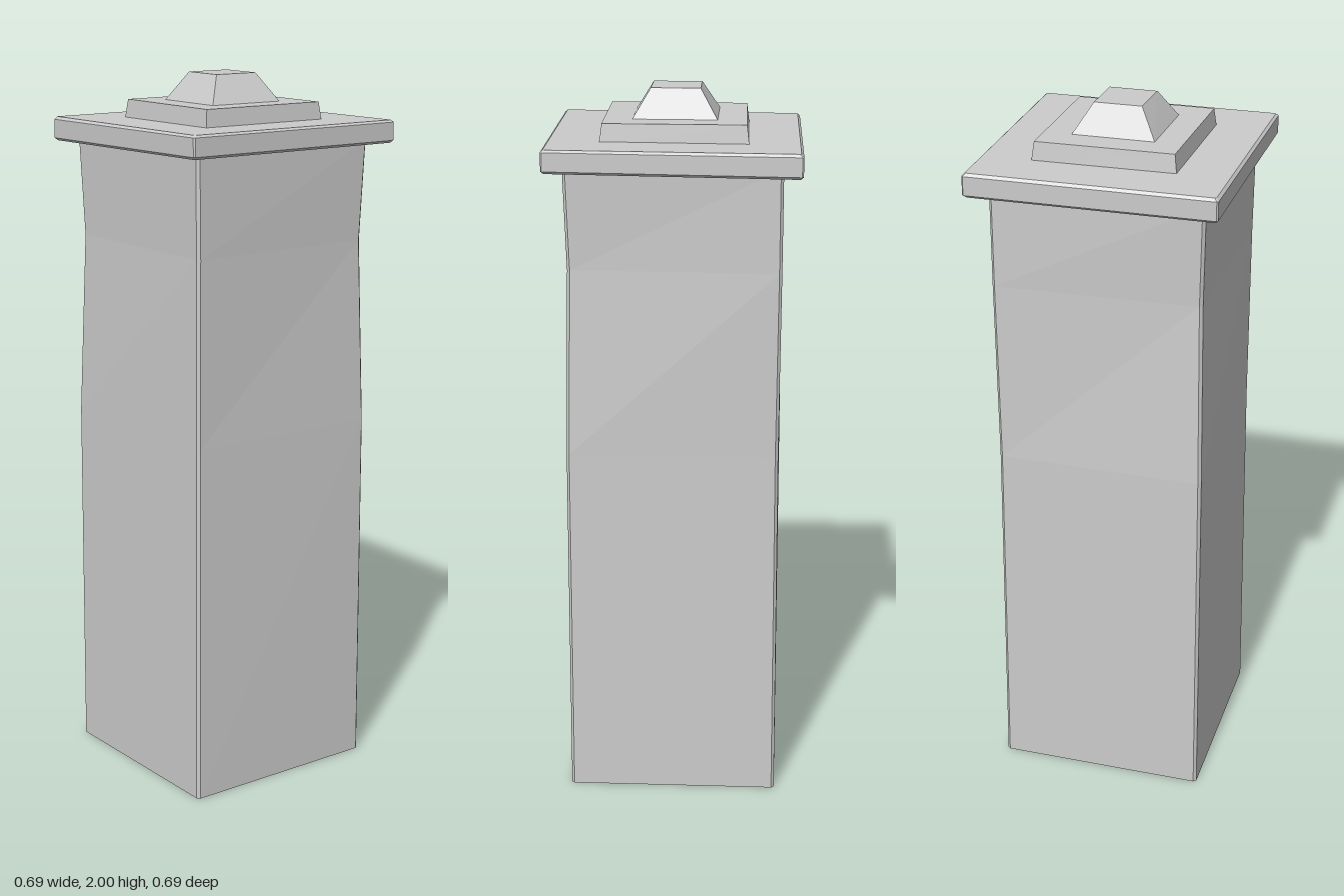
import * as THREE from 'three';

// Lofts flat-sided rings of four corners [x, y, z], with each corner cut by a small chamfer.
// Corner order: front-left of the image, front-right, back-right, back-left.
function loft(name, rings, chamfer) {
  const loops = rings.map((ring) => {
    const corners = ring.map((c) => new THREE.Vector3(...c));
    if (!chamfer) return corners;
    return corners.flatMap((c, i) => [corners[(i + 3) % 4], corners[(i + 1) % 4]].map(
      (n) => c.clone().addScaledVector(n.clone().sub(c).normalize(), chamfer)));
  });
  const n = loops[0].length;
  const pts = [];
  for (let i = 0; i < loops.length - 1; i++) {
    for (let j = 0; j < n; j++) {
      const k = (j + 1) % n;
      const a = loops[i][j], b = loops[i][k], c = loops[i + 1][k], d = loops[i + 1][j];
      pts.push(a, b, c, a, c, d);
    }
  }
  const bottom = loops[0], top = loops[loops.length - 1];
  for (let j = 1; j < n - 1; j++) {
    pts.push(top[0], top[j], top[j + 1], bottom[0], bottom[j + 1], bottom[j]);
  }
  const geometry = new THREE.BufferGeometry().setFromPoints(pts);
  geometry.computeVertexNormals();
  const mesh = new THREE.Mesh(geometry,
    new THREE.MeshStandardMaterial({ color: 0xcccccc, flatShading: true }));
  mesh.name = name;
  return mesh;
}

// Puts a plan of four [x, z] corners at height y, pulled in by inset; tilt raises the +x side.
const level = (plan, y, inset = 0, tilt = 0) => plan.map(([x, z]) => [
  x - Math.sign(x) * inset, y + Math.sign(x) * tilt, z - Math.sign(z) * inset]);

export function createModel() {
  const group = new THREE.Group();
  group.name = 'stonePillar';

  // Shaft, worn in along two opposite corners near the top
  const foot = [[-0.298, 0.3], [0.295, 0.3], [0.295, -0.293], [-0.298, -0.293]];
  const middle = [[-0.298, 0.296], [0.288, 0.292], [0.293, -0.293], [-0.294, -0.287]];
  const waist = [[-0.274, 0.285], [0.292, 0.292], [0.284, -0.277], [-0.297, -0.292]];
  const neck = [[-0.288, 0.292], [0.294, 0.295], [0.292, -0.288], [-0.297, -0.293]];
  group.add(loft('shaft', [
    level(foot, 0), level(middle, 1.02), level(waist, 1.54), level(neck, 1.82),
  ], 0.008));

  // Slightly skewed slab with softened edges
  const slab = [[-0.342, 0.337], [0.347, 0.344], [0.342, -0.343], [-0.348, -0.347]];
  group.add(loft('capSlab', [
    level(slab, 1.808, 0.007, 0.004), level(slab, 1.815, 0, 0.004),
    level(slab, 1.866, 0, 0.003), level(slab, 1.873, 0.007, 0.002),
  ], 0.004));

  // Stepped tier with sloped sides
  const tier = [[-0.197, 0.191], [0.203, 0.2], [0.2, -0.2], [-0.204, -0.204]];
  group.add(loft('capTier', [level(tier, 1.865), level(tier, 1.922, 0.007)], 0));

  // Truncated pyramid on top
  const finial = [[-0.116, 0.11], [0.117, 0.115], [0.117, -0.117], [-0.117, -0.12]];
  group.add(loft('finial', [level(finial, 1.92), level(finial, 2, 0.049)], 0));

  return group;
}
